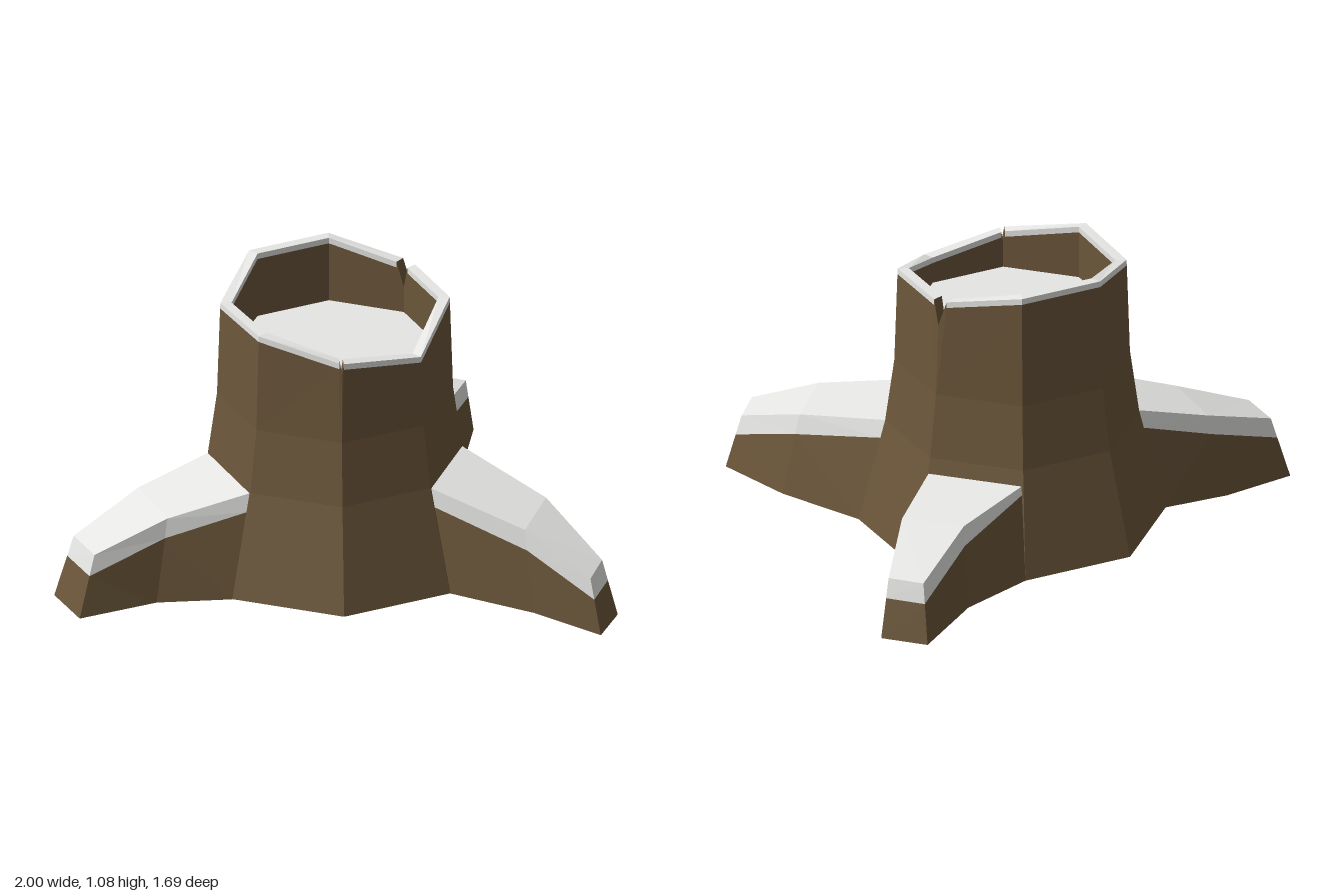
import * as THREE from 'three';

const CX = 0.02, CZ = 0.15; // trunk axis

// Collects quads (corners counter-clockwise from outside) into a flat-faced geometry
class Faces {
  constructor() { this.pos = []; }
  quad(a, b, c, d) {
    for (const p of [a, b, c, a, c, d]) this.pos.push(...p);
  }
  mesh(name, material) {
    const g = new THREE.BufferGeometry();
    g.setAttribute('position', new THREE.Float32BufferAttribute(this.pos, 3));
    g.computeVertexNormals();
    const m = new THREE.Mesh(g, material);
    m.name = name;
    return m;
  }
}

const lerp = (a, b, t) => a.map((v, i) => v + (b[i] - v) * t);

// Octagonal rim: corner heights, with V-shaped cracks at some corners
function rimPoints() {
  const heights = [1.02, 0.93, 0.97, 1.03, 1.02, 1.08, 1.08, 1.02];
  const cracks = { 2: { width: 0.025, depth: 0.04 }, 7: { width: 0.1, depth: 0.09 } };
  const corner = (k) => {
    const a = (k * Math.PI) / 4;
    return [Math.cos(a), Math.sin(a), heights[(k + 8) % 8]];
  };
  const points = [];
  for (let k = 0; k < 8; k++) {
    const [x, z, y] = corner(k), crack = cracks[k];
    if (!crack) { points.push({ x, z, y }); continue; }
    const before = lerp(corner(k), corner(k - 1), crack.width);
    const after = lerp(corner(k), corner(k + 1), crack.width);
    points.push({ x: before[0], z: before[1], y: before[2], cracked: true });
    points.push({ x, z, y: y - crack.depth, cracked: true });
    points.push({ x: after[0], z: after[1], y: after[2] });
  }
  return points;
}

function createTrunk(wood, snow) {
  const bark = new Faces(), rim = new Faces(), floor = new Faces();
  const points = rimPoints();
  // Profile from the underside, up the bark, over the rim and down inside;
  // drop is measured down from the rim height
  const rings = [
    { r: 0, y: 0.03, to: bark },
    { r: 0.55, y: 0.03, to: bark },
    { r: 0.455, y: 0.42, to: bark },
    { r: 0.422, y: 0.66, to: bark },
    { r: 0.411, drop: 0.022, to: rim },
    { r: 0.41, drop: 0, to: rim },
    { r: 0.37, drop: 0, to: rim },
    { r: 0.37, drop: 0.022, to: bark },
    { r: 0.37, y: 0.83, to: floor },
    { r: 0, y: 0.83 },
  ];
  const at = (ring, p) => [CX + p.x * ring.r, ring.y ?? p.y - ring.drop, CZ + p.z * ring.r];
  for (let n = 0; n < rings.length - 1; n++) {
    const lo = rings[n], hi = rings[n + 1];
    points.forEach((p, i) => {
      const q = points[(i + 1) % points.length];
      const target = lo.to === rim && p.cracked ? bark : lo.to; // bare wood in the cracks
      target.quad(at(lo, q), at(lo, p), at(hi, p), at(hi, q));
    });
  }
  const group = new THREE.Group();
  group.name = 'trunk';
  group.add(bark.mesh('bark', wood), rim.mesh('snowRim', snow), floor.mesh('snowFloor', snow));
  return group;
}

// Each station: ground y, snow edge y, top y, then x,z of base and top on sides a and b
const ROOTS = {
  rightRoot: [
    { y: [0.03, 0.35, 0.42], a: [-0.53, 0.15, -0.435, 0.15], b: [-0.37, 0.54, -0.305, 0.475] },
    { y: [0.02, 0.265, 0.34], a: [-0.76, 0.25, -0.69, 0.25], b: [-0.64, 0.53, -0.6, 0.5] },
    { y: [0.005, 0.16, 0.238], a: [-1.0, 0.42, -0.93, 0.415], b: [-0.92, 0.61, -0.865, 0.57] },
  ],
  leftRoot: [
    { y: [0.03, 0.35, 0.42], a: [0.41, 0.54, 0.345, 0.475], b: [0.57, 0.15, 0.475, 0.15] },
    { y: [0.02, 0.255, 0.333], a: [0.7, 0.69, 0.67, 0.65], b: [0.82, 0.4, 0.76, 0.4] },
    { y: [0, 0.132, 0.21], a: [0.93, 0.84, 0.895, 0.805], b: [1.0, 0.68, 0.945, 0.66] },
  ],
  backRoot: [
    { y: [0.03, 0.335, 0.365], a: [0.41, -0.24, 0.345, -0.175], b: [0.02, -0.4, 0.02, -0.31] },
    { y: [0.02, 0.24, 0.31], a: [0.51, -0.46, 0.465, -0.43], b: [0.24, -0.58, 0.25, -0.51] },
    { y: [0.01, 0.155, 0.228], a: [0.57, -0.78, 0.54, -0.74], b: [0.41, -0.85, 0.42, -0.795] },
  ],
};

function createRoot(name, stations, wood, snow) {
  const bark = new Faces(), cap = new Faces();
  // Base, snow edge and top point on one side of a station
  const column = ([bx, bz, tx, tz], [y0, y1, y2]) => {
    const base = [bx, y0, bz], top = [tx, y2, tz];
    return [base, lerp(base, top, (y1 - y0) / (y2 - y0)), top];
  };
  const cols = stations.map((s) => ({ a: column(s.a, s.y), b: column(s.b, s.y) }));
  for (let i = 0; i < cols.length - 1; i++) {
    const p = cols[i], q = cols[i + 1];
    [bark, cap].forEach((f, k) => {
      f.quad(p.b[k], p.b[k + 1], q.b[k + 1], q.b[k]);
      f.quad(p.a[k], q.a[k], q.a[k + 1], p.a[k + 1]);
    });
    bark.quad(p.a[0], p.b[0], q.b[0], q.a[0]);
    cap.quad(p.a[2], q.a[2], q.b[2], p.b[2]);
  }
  // Tip
  const tip = cols[cols.length - 1];
  [bark, cap].forEach((f, k) => f.quad(tip.a[k], tip.b[k], tip.b[k + 1], tip.a[k + 1]));
  const group = new THREE.Group();
  group.name = name;
  group.add(bark.mesh('rootBark', wood), cap.mesh('rootSnow', snow));
  return group;
}

export function createModel() {
  const wood = new THREE.MeshStandardMaterial({ color: 0x6b563a });
  wood.name = 'brown bark';
  const snow = new THREE.MeshStandardMaterial({ color: 0xe6e6e4 });
  snow.name = 'white snow';

  const model = new THREE.Group();
  model.name = 'snowyStump';
  model.add(createTrunk(wood, snow));
  for (const [name, stations] of Object.entries(ROOTS)) {
    model.add(createRoot(name, stations, wood, snow));
  }
  return model;
}
